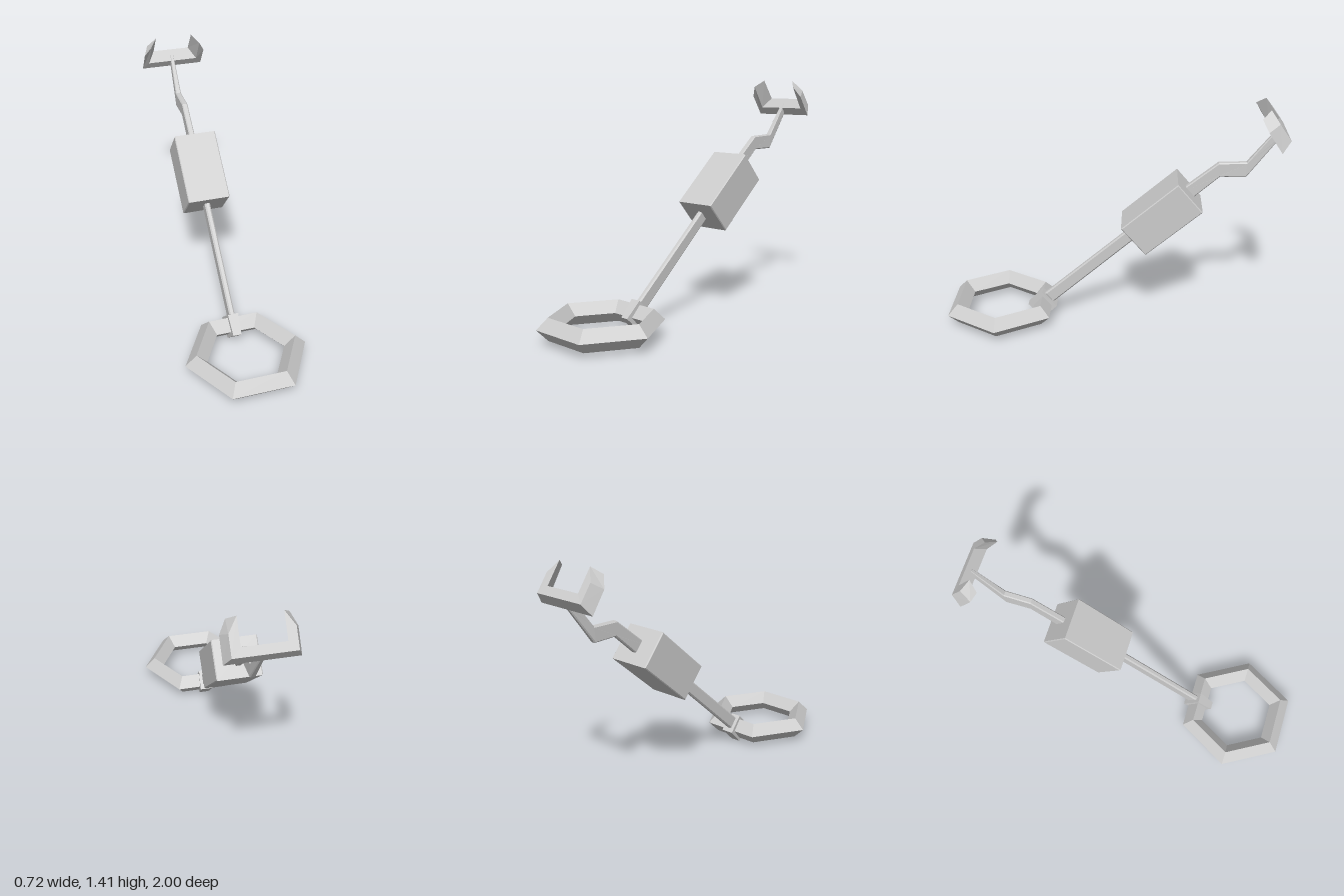
import * as THREE from 'three';

const material = new THREE.MeshStandardMaterial({ color: 0xcccccc, flatShading: true });

// Bevelled plate from a side outline of [z, y] points, centred on x = 0
function sidePlate(points, halfWidth, bevel) {
  const shape = new THREE.Shape(points.map(([z, y]) => new THREE.Vector2(z, y)));
  const depth = 2 * (halfWidth - bevel);
  const geometry = new THREE.ExtrudeGeometry(shape, {
    depth, bevelThickness: bevel, bevelSize: bevel, bevelOffset: -bevel, bevelSegments: 1,
  });
  geometry.translate(0, 0, -depth / 2);
  geometry.rotateY(-Math.PI / 2);
  return geometry;
}

// Capped tube through four-cornered sections of [x, y, z] points
function loft(sections) {
  const positions = [];
  const quad = (a, b, c, d) => positions.push(...a, ...b, ...c, ...a, ...c, ...d);
  for (let i = 0; i < sections.length - 1; i++) {
    for (let j = 0; j < 4; j++) {
      const k = (j + 1) % 4;
      quad(sections[i][j], sections[i][k], sections[i + 1][k], sections[i + 1][j]);
    }
  }
  quad(...[...sections[0]].reverse());
  quad(...sections[sections.length - 1]);
  const geometry = new THREE.BufferGeometry();
  geometry.setAttribute('position', new THREE.Float32BufferAttribute(positions, 3));
  geometry.computeVertexNormals();
  return geometry;
}

export function createModel() {
  const model = new THREE.Group();
  model.name = 'detector';
  const add = (name, geometry) => {
    const mesh = new THREE.Mesh(geometry, material);
    mesh.name = name;
    model.add(mesh);
    return mesh;
  };

  // Hexagonal search ring with a diamond section
  const ring = new THREE.TorusGeometry(0.296, 0.065, 4, 6);
  ring.rotateX(Math.PI / 2);
  add('searchRing', ring).position.set(0, 0.09, 0.685);

  // Diamond sleeve around the ring, narrower towards its centre
  const clamp = new THREE.CylinderGeometry(0.09, 0.09, 0.064, 4);
  clamp.rotateZ(Math.PI / 2);
  const cp = clamp.attributes.position;
  for (let i = 0; i < cp.count; i++) {
    cp.setX(i, cp.getX(i) * (1 - cp.getZ(i) * 2.6));
  }
  add('clamp', clamp).position.set(0, 0.09, 0.43);

  // Straight lower shaft
  add('lowerShaft', sidePlate(
    [[0.415, 0.165], [0.365, 0.105], [-0.2, 0.61], [-0.155, 0.665]], 0.017, 0.008));

  // Control box
  add('controlBox', sidePlate(
    [[-0.063, 0.68], [-0.39, 0.966], [-0.537, 0.795], [-0.21, 0.511]], 0.13, 0.005));

  // Cranked upper rod, thinning towards the arm cuff
  const rod = sidePlate([
    [-0.39, 0.868], [-0.625, 1.06], [-0.785, 1.065], [-0.945, 1.27],
    [-0.975, 1.23], [-0.945, 1.19], [-0.785, 0.975], [-0.635, 0.975], [-0.44, 0.8],
  ], 0.018, 0.006);
  const rp = rod.attributes.position;
  for (let i = 0; i < rp.count; i++) {
    const t = THREE.MathUtils.clamp((-0.78 - rp.getZ(i)) / 0.17, 0, 1);
    rp.setX(i, rp.getX(i) * (1 - 0.42 * t));
  }
  add('upperRod', rod);

  // U-shaped arm cuff with slanted tips
  const tip = [[0.195, 1.31, -0.87], [0.158, 1.374, -0.835], [0.115, 1.415, -0.885], [0.165, 1.35, -0.932]];
  const corner = [[0.195, 1.19, -0.952], [0.158, 1.235, -0.922], [0.115, 1.295, -0.97], [0.165, 1.255, -1.0]];
  const mirror = (section) => section.map(([x, y, z]) => [-x, y, z]);
  add('armCuff', loft([tip, corner, mirror(corner), mirror(tip)]));

  return model;
}
